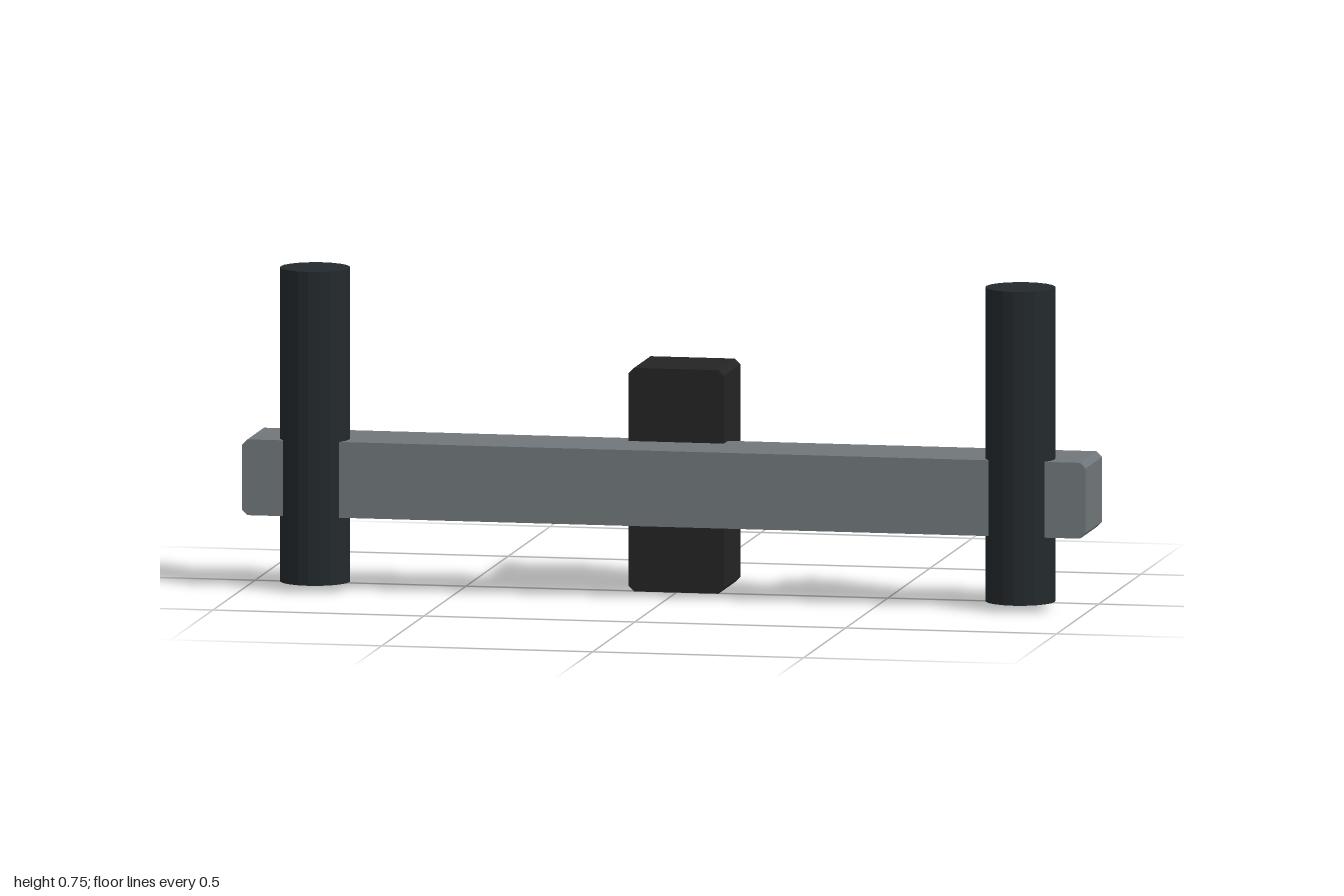
import * as THREE from 'three';

// Block with chamfered corners in the front outline, extruded along z
function chamferedBlock(name, width, yMin, yMax, zMin, zMax, chamfer, material) {
  const w = width / 2;
  const c = chamfer;
  const outline = new THREE.Shape([
    [-w + c, yMin], [w - c, yMin], [w, yMin + c], [w, yMax - c],
    [w - c, yMax], [-w + c, yMax], [-w, yMax - c], [-w, yMin + c],
  ].map(([x, y]) => new THREE.Vector2(x, y)));
  const geometry = new THREE.ExtrudeGeometry(outline, { depth: zMax - zMin, bevelEnabled: false });
  geometry.translate(0, 0, zMin);
  const mesh = new THREE.Mesh(geometry, material);
  mesh.name = name;
  return mesh;
}

export function createModel() {
  const model = new THREE.Group();
  model.name = 'barWithPosts';

  const barMaterial = new THREE.MeshStandardMaterial({ color: 0x70767a, flatShading: true });
  const blockMaterial = new THREE.MeshStandardMaterial({ color: 0x242424, flatShading: true });
  const postMaterial = new THREE.MeshStandardMaterial({ color: 0x23292c, flatShading: true });

  // Long horizontal bar
  model.add(chamferedBlock('crossbar', 2, 0.175, 0.353, -0.04, 0.156, 0.013, barMaterial));

  // Upright block behind the middle of the bar
  model.add(chamferedBlock('mountingBlock', 0.226, 0, 0.525, -0.188, 0.008, 0.013, blockMaterial));

  // Upright posts passing through the bar at both ends
  const postGeometry = new THREE.CylinderGeometry(0.082, 0.082, 0.737, 20);
  for (const [name, side] of [['leftPost', 1], ['rightPost', -1]]) {
    const post = new THREE.Mesh(postGeometry, postMaterial);
    post.name = name;
    post.position.set(side * 0.836, 0.3865, 0.108);
    model.add(post);
  }

  return model;
}
